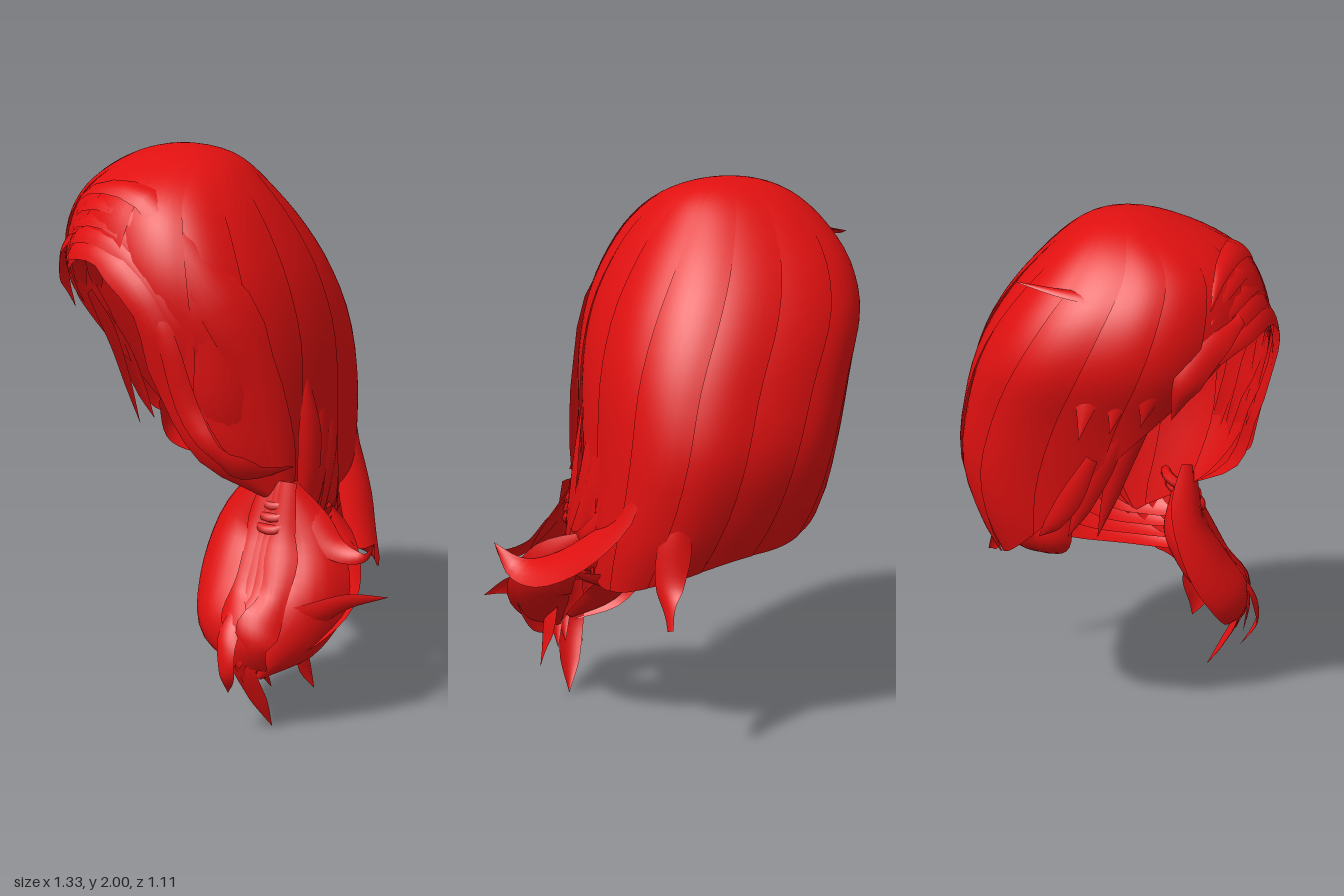
import * as THREE from 'three';

const V = (p) => new THREE.Vector3(p[0], p[1], p[2]);

// Surface from rows x cols of points given by f(s, a), s and a in 0..1
function grid(rows, cols, f) {
  const pos = [], idx = [];
  for (let i = 0; i <= rows; i++)
    for (let j = 0; j <= cols; j++) pos.push(...f(i / rows, j / cols));
  for (let i = 0; i < rows; i++)
    for (let j = 0; j < cols; j++) {
      const a = i * (cols + 1) + j, c = a + cols + 1;
      idx.push(a, a + 1, c, a + 1, c + 1, c);
    }
  const g = new THREE.BufferGeometry();
  g.setAttribute('position', new THREE.Float32BufferAttribute(pos, 3));
  g.setIndex(idx);
  g.computeVertexNormals();
  return g;
}

// Smooth lookup in a table of [key, ...values]
function table(rows) {
  const n = rows[0].length - 1;
  const t = new THREE.CubicInterpolant(
    new Float32Array(rows.map((r) => r[0])),
    new Float32Array(rows.flatMap((r) => r.slice(1))), n);
  return (k) => t.evaluate(k);
}

// Head sections: y, left x, right x, back z, front z, forward skew (keyed by sqrt of the drop)
const section = table([
  [2.0, -0.22, -0.22, 0.03, 0.03, 0],
  [1.97, -0.39, -0.05, -0.1, 0.19, 0.02],
  [1.85, -0.55, 0.09, -0.25, 0.42, 0.05],
  [1.7, -0.63, 0.19, -0.37, 0.5, 0.08],
  [1.55, -0.64, 0.26, -0.45, 0.52, 0.09],
  [1.35, -0.575, 0.31, -0.51, 0.49, 0.08],
  [1.1, -0.51, 0.325, -0.54, 0.45, 0.06],
  [0.9, -0.47, 0.33, -0.49, 0.36, 0.03],
  [0.75, -0.41, 0.34, -0.43, 0.28, 0],
  [0.58, -0.3, 0.33, -0.33, 0.22, 0],
].map(([y, ...r]) => [Math.sqrt(2 - y), ...r]));

// Height of the hem around the head: degrees from the left (+x) through the front
const hem = table([
  [-30, 0.59], [0, 0.6], [30, 0.7], [50, 0.8], [65, 0.93], [78, 1.14], [90, 1.4],
  [100, 1.55], [115, 1.63], [133, 1.6], [150, 1.48], [165, 1.34], [180, 1.18], [200, 0.97],
  [225, 0.8], [270, 0.72], [300, 0.65], [330, 0.59], [360, 0.6], [390, 0.7],
]);

// Tapered, bulging lock along points [x, y, z, half width], facing away from centre
function lockGeometry(pts, centre, bulge) {
  const path = new THREE.CatmullRomCurve3(pts.map(V));
  const width = new THREE.CatmullRomCurve3(pts.map((p) => V([p[3], 0, 0])));
  const c = V(centre);
  return grid(18, 6, (s, a) => {
    const p = path.getPoint(s), t = path.getTangent(s);
    const n = p.clone().sub(c);
    n.addScaledVector(t, -n.dot(t)).normalize();
    const side = t.clone().cross(n);
    const w = Math.max(0, width.getPoint(s).x), k = a * 2 - 1;
    return p.addScaledVector(side, w * k).addScaledVector(n, bulge * w * (1 - k * k)).toArray();
  });
}

export function createModel() {
  const model = new THREE.Group();
  model.name = 'hair';
  const red = new THREE.MeshStandardMaterial({ color: 0xe01010, side: THREE.DoubleSide });
  red.name = 'red hair';

  const group = (name) => {
    const g = new THREE.Group();
    g.name = name;
    model.add(g);
    return g;
  };
  const add = (parent, name, geometry) => {
    const m = new THREE.Mesh(geometry, red);
    m.name = name;
    parent.add(m);
  };
  const head = [-0.15, 1.2, -0.05];
  const lock = (parent, name, pts, centre = head, bulge = 0.25) =>
    add(parent, name, lockGeometry(pts, centre, bulge));

  // Cap: overlapping panels that swirl down from the crown, fuller at the back corners
  const cap = group('cap');
  const panels = 14;
  for (let i = 0; i < panels; i++)
    add(cap, 'capPanel', grid(26, 7, (s, a) => {
      const deg = ((i + a * 1.1) / panels) * 360 - 30 * (1 - s);
      const r = THREE.MathUtils.degToRad(deg);
      const u = s * Math.sqrt(2 - hem(((deg % 360) + 360) % 360)[0]);
      const [xl, xr, zb, zf, skew] = section(u);
      const sin = Math.sin(r), cos = Math.cos(r);
      const corner = sin < 0 ? (cos < 0 ? 0.1 : 0.03 + 0.08 * s) * Math.sin(2 * r) ** 2 : 0;
      const lift = 1 + corner + (0.02 * (1 - a) + 0.012 * Math.sin(Math.PI * a)) * Math.min(1, s * 2);
      return [(xl + xr) / 2 + ((xr - xl) / 2) * lift * cos + skew * Math.max(0, sin) ** 2, 2 - u * u,
        (zb + zf) / 2 + ((zf - zb) / 2) * lift * sin];
    }));

  // Fringe: locks swept from the parting across the forehead to the tie
  const fringe = group('fringe');
  const inner = [[-0.52, 1.58, 0.34, 0.02], [-0.43, 1.66, 0.43, 0.05], [-0.25, 1.67, 0.5, 0.06],
    [-0.06, 1.5, 0.535, 0.06], [0.01, 1.2, 0.47, 0.06], [0.11, 0.99, 0.42, 0.05], [0.26, 0.82, 0.26, 0.015]];
  const outer = [[-0.53, 1.75, 0.32, 0], [-0.4, 1.86, 0.36, 0.03], [-0.14, 1.85, 0.42, 0.05],
    [0.11, 1.6, 0.43, 0.07], [0.24, 1.3, 0.34, 0.07], [0.29, 1.0, 0.26, 0.06], [0.3, 0.76, 0.21, 0.02]];
  for (let k = 0; k < 5; k++)
    lock(fringe, 'fringeLock', inner.map((p, i) => p.map((v, j) => v + (outer[i][j] - v) * (k / 4))));
  lock(fringe, 'fringeStrand', [[-0.2, 1.66, 0.51, 0], [-0.02, 1.45, 0.53, 0.03], [0.06, 1.15, 0.48, 0.04],
    [0.14, 1.02, 0.46, 0.03], [0.24, 0.93, 0.36, 0.03], [0.33, 0.93, 0.22, 0]]);

  // Right temple: short locks and thin wisps beside the face
  const temple = group('templeLocks');
  for (let k = 0; k < 4; k++) {
    const d = k * 0.1;
    lock(temple, 'templeLock', [[-0.44, 1.7 + d * 0.4, 0.42 - d * 0.3, 0.02], [-0.53, 1.65 + d * 0.3, 0.33 - d * 0.7, 0.06],
      [-0.6, 1.53, 0.25 - d, 0.05], [-0.59 - d * 0.15, 1.4 - d * 0.2, 0.2 - d, 0]]);
  }
  for (let k = 0; k < 3; k++) {
    const d = k * 0.1;
    lock(temple, 'templeWisp', [[-0.57, 1.45 - d, 0.14 - d, 0.02], [-0.53, 1.28 - d, 0.06 - d, 0.04],
      [-0.505, 1.1 - d * 0.6, 0 - d, 0.03], [-0.48, 0.92, -0.05 - d, 0]]);
  }
  lock(temple, 'partingWisp', [[-0.51, 1.84, -0.32, 0], [-0.56, 1.81, -0.12, 0.02],
    [-0.57, 1.79, 0.1, 0.03], [-0.51, 1.77, 0.3, 0.01]]);

  // Nape: loose ends below the back of the cap
  const nape = group('napeLocks');
  lock(nape, 'napeFlick', [[0.14, 0.95, -0.46, 0], [0.18, 0.77, -0.43, 0.06],
    [0.2, 0.65, -0.44, 0.05], [0.22, 0.53, -0.5, 0.015]]);
  lock(nape, 'napeEnd', [[-0.45, 1.0, -0.15, 0.02], [-0.42, 0.87, -0.22, 0.07],
    [-0.3, 0.8, -0.3, 0.05], [-0.15, 0.73, -0.36, 0]]);

  // Sweep: locks gathered from the nape and left side into the tail
  const sweep = group('sweep');
  const starts = [[0.05, 0.74, -0.44], [0.2, 0.78, -0.4], [0.28, 0.84, -0.3], [0.31, 0.92, -0.15]];
  starts.forEach(([x, y, z], k) => lock(sweep, 'sweepLock',
    [[x, y, z, 0], [0.28 + k * 0.02, 0.61 + k * 0.04, -0.16 + k * 0.04, 0.06],
      [0.33, 0.56 + k * 0.045, 0.08 + k * 0.01, 0.055], [0.29, 0.54 + k * 0.05, 0.27, 0.035]], [0.05, 0.95, 0]));
  for (let k = 0; k < 3; k++)
    lock(sweep, 'sideSweepLock', [[0.31, 1.25, 0.1 - k * 0.1, 0], [0.335, 0.98 - k * 0.04, 0.12 - k * 0.08, 0.06],
      [0.34, 0.78 - k * 0.05, 0.17 - k * 0.04, 0.055], [0.31, 0.62 - k * 0.04, 0.27, 0.04]]);
  lock(sweep, 'outerSheet', [[0.25, 1.1, -0.38, 0], [0.31, 0.87, -0.28, 0.06], [0.39, 0.73, -0.14, 0.09],
    [0.5, 0.62, 0.02, 0.075], [0.57, 0.61, 0.12, 0.045], [0.63, 0.69, 0.2, 0]], [0, 0, 0.15]);

  // Tie: a narrow band round the gathered hair
  for (let k = 0; k < 3; k++) {
    const band = new THREE.TorusGeometry(0.06, 0.02, 6, 16);
    band.rotateX(Math.PI / 2 + 0.5);
    band.translate(0.27, 0.82 - k * 0.04, 0.215 + k * 0.015);
    add(sweep, 'tieBand', band);
  }

  // Side tail: broad leaves front and back, with pointed ends
  const tail = group('sideTail');
  const front = [0.25, 0.55, 0.0], back = [0.25, 0.5, 0.8];
  lock(tail, 'innerLeaf', [[0.21, 0.9, 0.25, 0.04], [0.11, 0.72, 0.25, 0.1], [0.09, 0.54, 0.33, 0.125],
    [0.12, 0.38, 0.43, 0.1], [0.26, 0.26, 0.47, 0.02]], front, 0.35);
  lock(tail, 'innerLeafBack', [[0.22, 0.8, 0.2, 0.04], [0.12, 0.67, 0.19, 0.09], [0.1, 0.52, 0.26, 0.11],
    [0.14, 0.38, 0.37, 0.09], [0.26, 0.27, 0.45, 0.02]], back, 0.25);
  lock(tail, 'outerLeaf', [[0.3, 0.86, 0.23, 0.04], [0.4, 0.68, 0.23, 0.1], [0.44, 0.5, 0.29, 0.13],
    [0.4, 0.36, 0.36, 0.11], [0.31, 0.22, 0.44, 0.01]], front, 0.35);
  lock(tail, 'outerLeafBack', [[0.34, 0.74, 0, 0.02], [0.44, 0.62, 0.09, 0.1], [0.47, 0.5, 0.17, 0.12],
    [0.41, 0.37, 0.29, 0.09], [0.32, 0.26, 0.4, 0.01]], back, 0.25);
  for (let k = 0; k < 4; k++)
    lock(tail, 'middleLock', [[0.23 + k * 0.03, 0.88, 0.25, 0.03], [0.2 + k * 0.04, 0.68, 0.3, 0.05],
      [0.19 + k * 0.05, 0.5, 0.39, 0.05], [0.22 + k * 0.03, 0.35, 0.48, 0.05],
      [0.21 + k * 0.04, 0.2 - k * 0.01, 0.47 - k * 0.03, 0]], front);
  lock(tail, 'longTip', [[0.24, 0.42, 0.43, 0.03], [0.25, 0.27, 0.45, 0.05], [0.28, 0.12, 0.39, 0.04], [0.305, 0, 0.33, 0]], front);
  lock(tail, 'lowerTip', [[0.36, 0.48, 0.3, 0.04], [0.39, 0.34, 0.29, 0.06], [0.41, 0.24, 0.29, 0.04], [0.44, 0.15, 0.27, 0]], [0, 0.4, 0.3]);
  lock(tail, 'backTip', [[0.24, 0.5, 0.4, 0.02], [0.22, 0.36, 0.5, 0.04], [0.23, 0.24, 0.52, 0.03], [0.2, 0.15, 0.46, 0]], front);
  lock(tail, 'sideFlick', [[0.34, 0.42, 0.39, 0.03], [0.45, 0.44, 0.34, 0.05], [0.56, 0.49, 0.27, 0.03], [0.68, 0.5, 0.18, 0]], front);
  lock(tail, 'upperFlick', [[0.3, 0.82, 0.24, 0.04], [0.4, 0.74, 0.22, 0.06], [0.5, 0.65, 0.22, 0.04], [0.6, 0.64, 0.21, 0.015], [0.63, 0.69, 0.2, 0]], front);
  return model;
}
